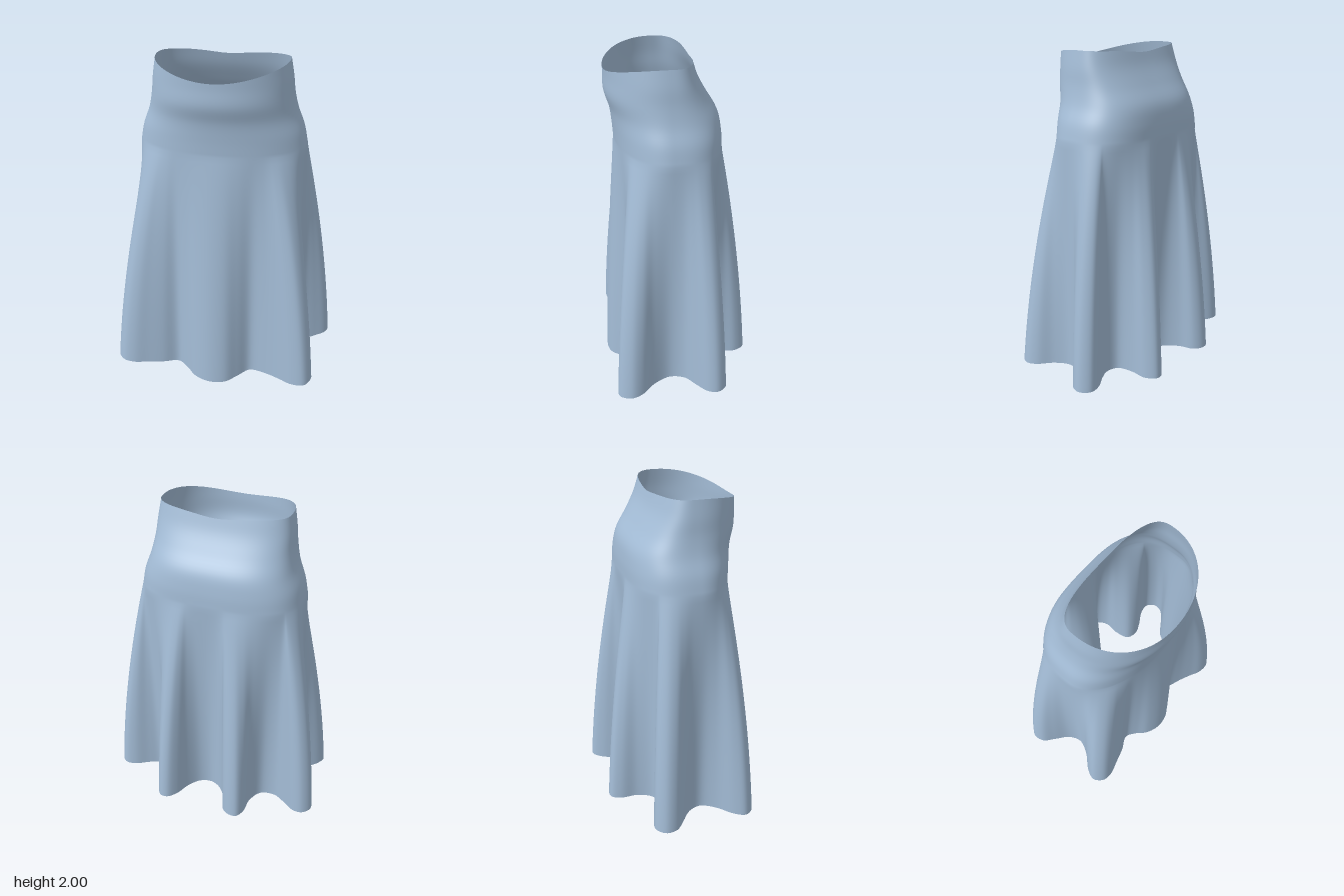
import * as THREE from 'three';

const AROUND = 288, UPPER = 24, LOWER = 40, HIP_Y = 1.5, CENTRE_Z = 0.06;

// Hem outline (x, z), from the front centre over the left side to the back and round
const hemPoints = [
  [-0.02, 0.435], [0.08, 0.42], [0.15, 0.36], [0.22, 0.30], [0.32, 0.325], [0.42, 0.37], [0.50, 0.41],
  [0.58, 0.41], [0.62, 0.34], [0.60, 0.27], [0.53, 0.19], [0.49, 0.09], [0.52, 0], [0.60, -0.06],
  [0.67, -0.12], [0.685, -0.18], [0.64, -0.235], [0.57, -0.23], [0.48, -0.18], [0.41, -0.155],
  [0.34, -0.18], [0.315, -0.28], [0.32, -0.37], [0.28, -0.435], [0.23, -0.435], [0.18, -0.38],
  [0.14, -0.29], [0.08, -0.22], [0.01, -0.2], [-0.06, -0.23], [-0.12, -0.31], [-0.15, -0.40],
  [-0.20, -0.435], [-0.255, -0.43], [-0.285, -0.37], [-0.29, -0.27], [-0.34, -0.18], [-0.43, -0.165],
  [-0.50, -0.20], [-0.58, -0.25], [-0.64, -0.25], [-0.685, -0.20], [-0.675, -0.13], [-0.61, -0.07],
  [-0.53, 0], [-0.50, 0.08], [-0.54, 0.17], [-0.62, 0.26], [-0.645, 0.33], [-0.60, 0.39],
  [-0.53, 0.40], [-0.44, 0.375], [-0.34, 0.345], [-0.25, 0.305], [-0.18, 0.345], [-0.12, 0.40],
];
const hemCurve = new THREE.CatmullRomCurve3(
  hemPoints.map(([x, z]) => new THREE.Vector3(x, 0, z)), true);

// Half width, front z and back z from the hip (y 1.5) to the waist (y 2), every 0.1
const bodyCurve = new THREE.CatmullRomCurve3([
  [0.49, 0.338, -0.27], [0.468, 0.345, -0.265], [0.43, 0.358, -0.245],
  [0.408, 0.387, -0.185], [0.397, 0.387, -0.13], [0.38, 0.39, -0.095],
].map((p) => new THREE.Vector3(...p)), false, 'catmullrom');

// Point of the rounded body section at height y, in direction a (0 = front)
function bodyPoint(a, y) {
  const k = bodyCurve.getPoint(THREE.MathUtils.clamp((y - HIP_Y) / 0.5, 0, 1));
  const s = Math.sin(a), c = Math.cos(a);
  const depth = c > 0 ? k.y - CENTRE_Z : CENTRE_Z - k.z;
  const n = c > 0 ? 2.1 : 2.9;
  const r = (Math.abs(s / k.x) ** n + Math.abs(c / depth) ** n) ** (-1 / n);
  return new THREE.Vector3(s * r, y, CENTRE_Z + c * r);
}

// Directions of the hem points, evened out so that each fold gathers smoothly at the hip
function foldAngles(hem) {
  const full = Math.PI * 2;
  let previous = 0;
  let offset = hem.map((p, i) => {
    let a = Math.atan2(p.x, p.z - CENTRE_Z);
    a += full * Math.round((previous - a) / full);
    previous = a;
    return a - (full * i) / AROUND;
  });
  for (let pass = 0; pass < 60; pass++) {
    offset = offset.map((o, i) =>
      (offset[(i + AROUND - 1) % AROUND] + 2 * o + offset[(i + 1) % AROUND]) / 4);
  }
  return offset.map((o, i) => o + (full * i) / AROUND);
}

function skirtGeometry() {
  const hem = Array.from({ length: AROUND }, (_, i) => hemCurve.getPoint(i / AROUND));
  const angles = foldAngles(hem);
  const rows = UPPER + LOWER;
  const positions = [], index = [];

  for (let j = 0; j <= rows; j++) {
    for (let i = 0; i < AROUND; i++) {
      const a = angles[i], c = Math.cos(a);
      let p;
      if (j >= LOWER) {
        // fitted yoke up to the curved waist rim
        const rim = 2 - (c > 0 ? 0.07 : 0.025) * c * c;
        p = bodyPoint(a, THREE.MathUtils.lerp(HIP_Y, rim, (j - LOWER) / UPPER));
      } else {
        // folds opening towards the hem, which is lowest at the front
        const turn = Math.acos(THREE.MathUtils.clamp(c, -1, 1));
        const hemY = 0.09 * Math.sin(Math.min(turn * 0.8, Math.PI / 2)) ** 2;
        const t = 1 - j / LOWER;
        const open = 1.5 * t - 0.5 * t * t;
        p = bodyPoint(a, HIP_Y);
        p.x = THREE.MathUtils.lerp(p.x, hem[i].x, open);
        p.z = THREE.MathUtils.lerp(p.z, hem[i].z, open);
        p.y = THREE.MathUtils.lerp(HIP_Y, hemY, t);
      }
      positions.push(p.x, p.y, p.z);

      if (j < rows) {
        const n = (i + 1) % AROUND, low = j * AROUND, high = low + AROUND;
        index.push(low + i, low + n, high + n, low + i, high + n, high + i);
      }
    }
  }
  const geometry = new THREE.BufferGeometry();
  geometry.setAttribute('position', new THREE.Float32BufferAttribute(positions, 3));
  geometry.setIndex(index);
  geometry.computeVertexNormals();
  return geometry;
}

export function createModel() {
  const group = new THREE.Group();
  group.name = 'flaredSkirt';
  const cloth = new THREE.MeshStandardMaterial({ color: 0xa3bcd6, side: THREE.DoubleSide });
  const skirt = new THREE.Mesh(skirtGeometry(), cloth);
  skirt.name = 'skirt';
  group.add(skirt);
  return group;
}
